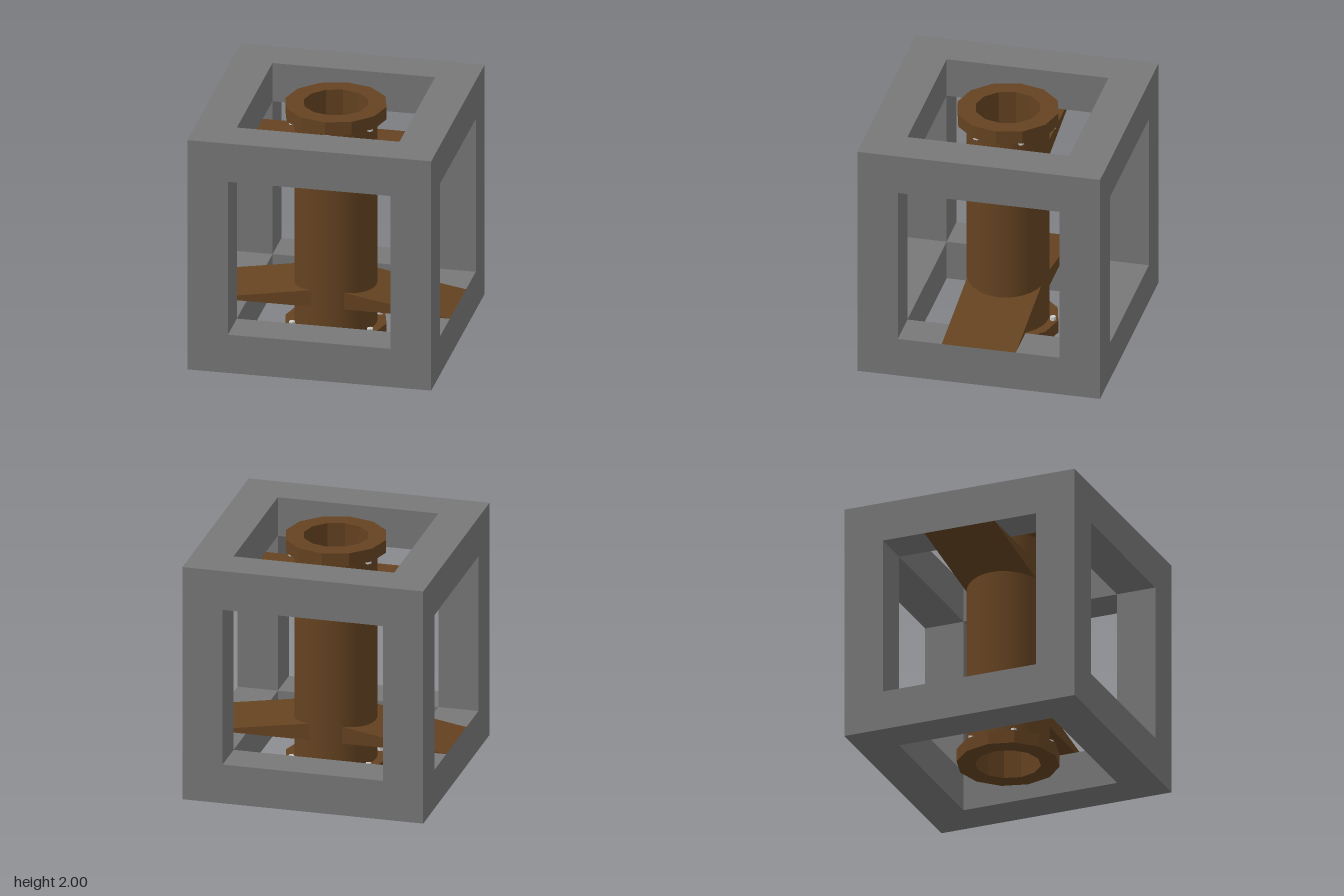
import * as THREE from 'three';
import { mergeGeometries } from 'three/addons/utils/BufferGeometryUtils.js';

const BEAM = 1 / 3, HOLE = 1 - BEAM;   // frame beam thickness, half opening
const PIPE_R = 0.333, BORE_R = 0.265;
const FLANGE_R = 0.415, FLANGE_H = 0.11;

const paint = (color, flatShading = true) => new THREE.MeshStandardMaterial({ color, flatShading });
const frameGrey = paint(0x787878);
const brown = paint(0x654321);
const brownSmooth = paint(0x654321, false);
const steel = paint(0xcccccc);

function add(parent, name, geometry, material) {
  const mesh = new THREE.Mesh(geometry, material);
  mesh.name = name;
  parent.add(mesh);
  return mesh;
}

function square(path, h) {
  return path.moveTo(-h, -h).lineTo(h, -h).lineTo(h, h).lineTo(-h, h).closePath();
}

// One side of the cube: a square ring and the four walls of its opening
function frameSide() {
  const ring = square(new THREE.Shape(), 1);
  ring.holes.push(square(new THREE.Path(), HOLE));
  const parts = [new THREE.ShapeGeometry(ring).translate(0, 0, 1)];
  for (let k = 0; k < 4; k++) {
    parts.push(new THREE.PlaneGeometry(2 * HOLE, BEAM)
      .rotateX(-Math.PI / 2)
      .translate(0, -HOLE, 1 - BEAM / 2)
      .rotateZ(k * Math.PI / 2));
  }
  return mergeGeometries(parts);
}

function frameGeometry() {
  const sides = [];
  for (let k = 0; k < 4; k++) sides.push(frameSide().rotateY(k * Math.PI / 2));
  for (const s of [-1, 1]) sides.push(frameSide().rotateX(s * Math.PI / 2));
  return mergeGeometries(sides);
}

// Wedge bracket: curved against the pipe, thinning to nothing at the outer face
function bracketGeometry() {
  const w = 0.305, r = 0.325, a = Math.asin(w / r);
  const plan = new THREE.Shape();
  plan.moveTo(r * Math.cos(a), -w);
  plan.lineTo(1, -w);
  plan.lineTo(1, w);
  plan.lineTo(r * Math.cos(a), w);
  plan.absarc(0, 0, r, a, -a, true);
  const geo = new THREE.ExtrudeGeometry(plan, { depth: 1, bevelEnabled: false, curveSegments: 12 });
  geo.rotateX(-Math.PI / 2);
  const p = geo.attributes.position;
  for (let i = 0; i < p.count; i++) {
    p.setY(i, -HOLE + p.getY(i) * (1 - p.getX(i)) / 6);
  }
  geo.computeVertexNormals();
  return geo;
}

// Twelve-sided end flange with six bolts on its inner side
function flange() {
  const group = new THREE.Group();
  const profile = [[BORE_R, 0], [FLANGE_R, 0], [FLANGE_R, FLANGE_H], [PIPE_R - 0.02, FLANGE_H]]
    .map(([x, y]) => new THREE.Vector2(x, y - 1));
  add(group, 'flangeRing', new THREE.LatheGeometry(profile, 12), brown);
  for (let k = 0; k < 6; k++) {
    const a = k * Math.PI / 3;
    add(group, 'flangeBolt', new THREE.CylinderGeometry(0.025, 0.025, 0.03, 6), steel)
      .position.set(0.37 * Math.sin(a), FLANGE_H + 0.015 - 1, 0.37 * Math.cos(a));
  }
  return group;
}

export function createModel() {
  const model = new THREE.Group();
  model.name = 'framedPipe';

  // Everything is built around the cube centre, then raised by one unit
  const body = new THREE.Group();
  body.name = 'body';
  body.position.y = 1;
  model.add(body);

  add(body, 'frame', frameGeometry(), frameGrey);

  // Pipe: smooth outside, twelve-sided bore
  add(body, 'pipe', new THREE.CylinderGeometry(PIPE_R, PIPE_R, 2 - 2 * FLANGE_H, 32, 1, true), brownSmooth);
  const bore = [new THREE.Vector2(BORE_R, 1), new THREE.Vector2(BORE_R, -1)];
  add(body, 'bore', new THREE.LatheGeometry(bore, 12), brown);

  // Flange and two brackets, repeated upside down at the top
  const bracket = bracketGeometry();
  for (const end of ['lower', 'upper']) {
    const group = flange();
    group.name = end + 'Support';
    add(group, 'leftBracket', bracket, brown);
    add(group, 'rightBracket', bracket, brown).rotation.y = Math.PI;
    if (end === 'upper') group.rotation.x = Math.PI;
    body.add(group);
  }
  return model;
}
